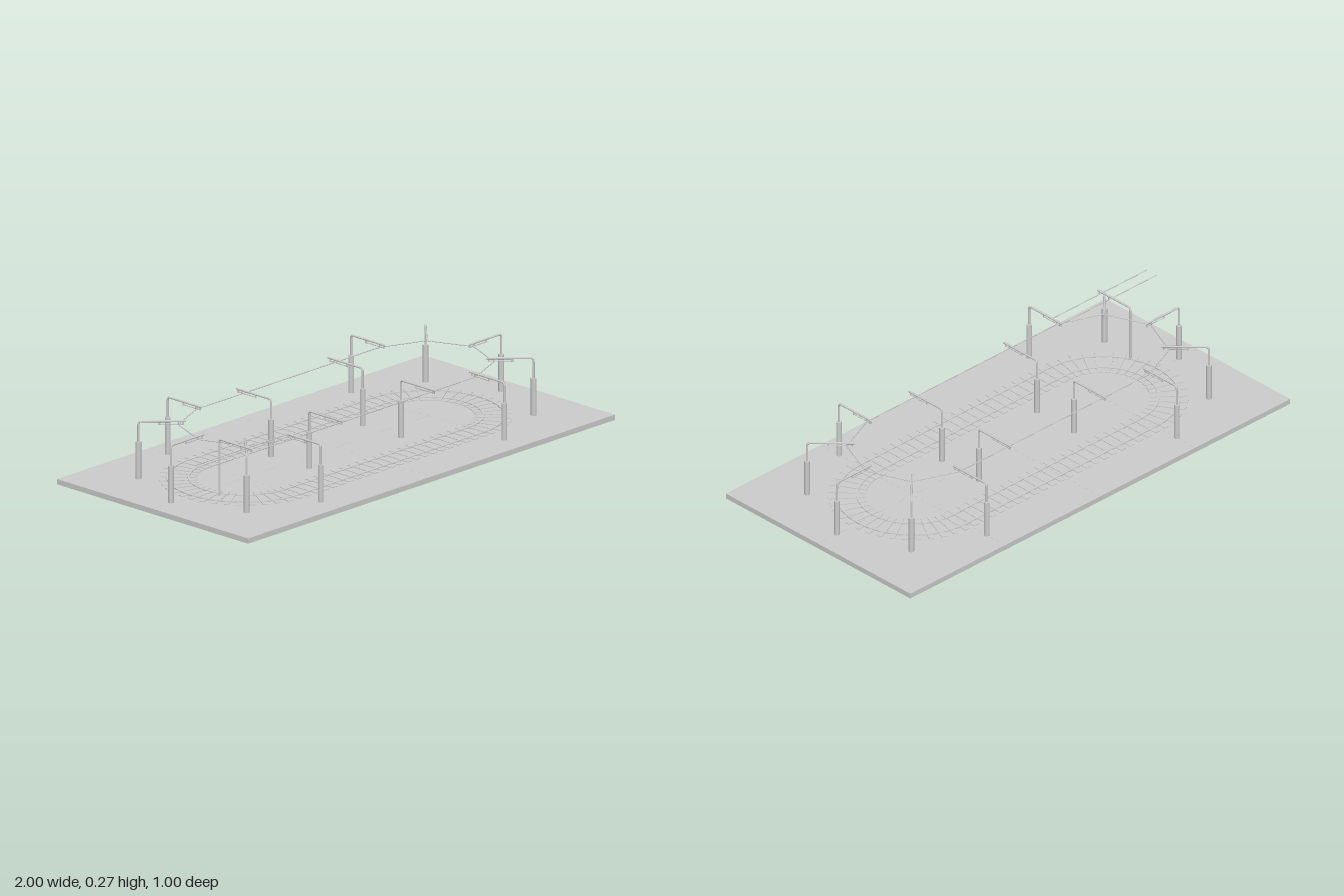
import * as THREE from 'three';

const mat = new THREE.MeshStandardMaterial({ color: 0xcccccc });
const HALF = 0.5;   // half length of the straights
const R = 0.25;     // centre-line radius of the curves
const TOP = 0.023;  // surface of the board

function add(parent, geometry, name, x = 0, y = 0, z = 0) {
  const mesh = new THREE.Mesh(geometry, mat);
  mesh.name = name;
  mesh.position.set(x, y, z);
  parent.add(mesh);
  return mesh;
}

// straight rod between two points
function rod(parent, a, b, radius, name) {
  const path = new THREE.LineCurve3(new THREE.Vector3(...a), new THREE.Vector3(...b));
  return add(parent, new THREE.TubeGeometry(path, 1, radius, 6), name);
}

// oval outline of two straights and two half circles
function oval(path, r) {
  path.moveTo(-HALF, -r);
  path.lineTo(HALF, -r);
  path.absarc(HALF, 0, r, -Math.PI / 2, Math.PI / 2, false);
  path.lineTo(-HALF, r);
  path.absarc(-HALF, 0, r, Math.PI / 2, Math.PI * 1.5, false);
  return path;
}

function rail(parent, r) {
  const shape = oval(new THREE.Shape(), r + 0.0035);
  shape.holes.push(oval(new THREE.Path(), r - 0.0035));
  const geo = new THREE.ExtrudeGeometry(shape, { depth: 0.006, bevelEnabled: false, curveSegments: 16 });
  geo.rotateX(-Math.PI / 2);
  add(parent, geo, 'rail', 0, 0.022, 0);
}

// bent tube: up the mast, round the corner and out along +x
function bracket(parent, y0, y1, reach, radius) {
  const path = new THREE.CurvePath();
  const v = (x, y) => new THREE.Vector3(x, y, 0);
  path.add(new THREE.LineCurve3(v(0, y0), v(0, y1 - 0.012)));
  path.add(new THREE.QuadraticBezierCurve3(v(0, y1 - 0.012), v(0, y1), v(0.012, y1)));
  path.add(new THREE.LineCurve3(v(0.012, y1), v(reach, y1)));
  add(parent, new THREE.TubeGeometry(path, 40, radius, 8), 'bracketTube');
}

// mast at (x, z) with its arm reaching along the direction (dx, dz)
function mast(parent, x, z, dx, dz) {
  const g = new THREE.Group();
  g.name = 'mast';
  add(g, new THREE.CylinderGeometry(0.011, 0.011, 0.15, 12), 'mastFoot', 0, TOP + 0.073, 0);
  bracket(g, 0.165, 0.251, 0.18, 0.0042);
  // contact arm hung under the bracket
  rod(g, [0.075, 0.24, 0], [0.172, 0.24, 0], 0.002, 'contactArm');
  for (const px of [0.08, 0.15, 0.17]) {
    add(g, new THREE.CylinderGeometry(0.003, 0.003, 0.014, 8), 'insulator', px, 0.244, 0);
  }
  g.position.set(x, 0, z);
  g.rotation.y = Math.atan2(-dz, dx);
  parent.add(g);
}

export function createModel() {
  const model = new THREE.Group();
  model.name = 'railwayBoard';

  // board made of eight tiles
  const board = new THREE.Group();
  board.name = 'board';
  for (const x of [-0.75, -0.25, 0.25, 0.75]) {
    for (const z of [-0.25, 0.25]) {
      add(board, new THREE.BoxGeometry(0.4995, TOP - 0.002, 0.4995), 'boardTile', x, (TOP + 0.002) / 2, z);
    }
  }
  model.add(board);

  // track: sleepers and two rails
  const track = new THREE.Group();
  track.name = 'track';
  const straightSleeper = new THREE.BoxGeometry(0.025, 0.0255, 0.145);
  const curveSleeper = new THREE.BoxGeometry(0.022, 0.0195, 0.145);
  const straightCount = 22, curveCount = 20;
  for (const side of [-1, 1]) {
    for (let i = 0; i < straightCount; i++) {
      const x = -HALF + (i + 0.5) / straightCount;
      add(track, straightSleeper, 'straightSleeper', x, 0.01275, side * R);
    }
    for (let i = 0; i < curveCount; i++) {
      const a = Math.PI * ((i + 0.5) / curveCount - 0.5);
      const s = add(track, curveSleeper, 'curveSleeper',
        side * (HALF + R * Math.cos(a)), 0.01575, R * Math.sin(a));
      s.rotation.y = Math.PI / 2 - side * a;
    }
  }
  rail(track, R - 0.04);
  rail(track, R + 0.04);
  model.add(track);

  // overhead masts: outside the corners and curves, inside the straights
  const masts = new THREE.Group();
  masts.name = 'masts';
  const c = Math.SQRT1_2;
  for (const sx of [-1, 1]) {
    mast(masts, sx * 0.9, 0, -sx, 0);
    for (const sz of [-1, 1]) {
      mast(masts, sx * HALF, sz * 0.4, 0, -sz);
      mast(masts, sx * 0.25, sz * 0.1, 0, sz);
      mast(masts, sx * (HALF + 0.4 * c), sz * 0.4 * c, -sx * c, -sz * c);
    }
  }
  model.add(masts);

  // contact wire strung from mast to mast
  const wire = new THREE.Group();
  wire.name = 'contactWire';
  const points = [];
  for (const side of [1, -1]) {
    points.push([-side * 0.25, 0.238, -side * R], [side * 0.25, 0.238, -side * R]);
    for (let i = 0; i <= 4; i++) {
      const a = -Math.PI / 2 + i * Math.PI / 4;
      points.push([side * (HALF + R * Math.cos(a)), 0.238, side * R * Math.sin(a)]);
    }
  }
  points.forEach((p, i) => rod(wire, p, points[(i + 1) % points.length], 0.002, 'wireSpan'));
  model.add(wire);

  // slim extra mast with two feeder wires running off the board
  const feeder = new THREE.Group();
  feeder.name = 'feeder';
  const slim = new THREE.Group();
  slim.name = 'slimMast';
  bracket(slim, 0.04, 0.265, 0.175, 0.0042);
  slim.position.set(-0.75, 0, 0.11);
  slim.rotation.y = -Math.PI / 2;
  feeder.add(slim);
  for (const z of [0.225, 0.277]) {
    rod(feeder, [-1, 0.25, z], [-0.5, 0.25, z], 0.002, 'feederWire');
    rod(feeder, [-0.75, 0.25, z], [-0.75, 0.265, z], 0.003, 'feederHanger');
  }
  model.add(feeder);

  return model;
}
